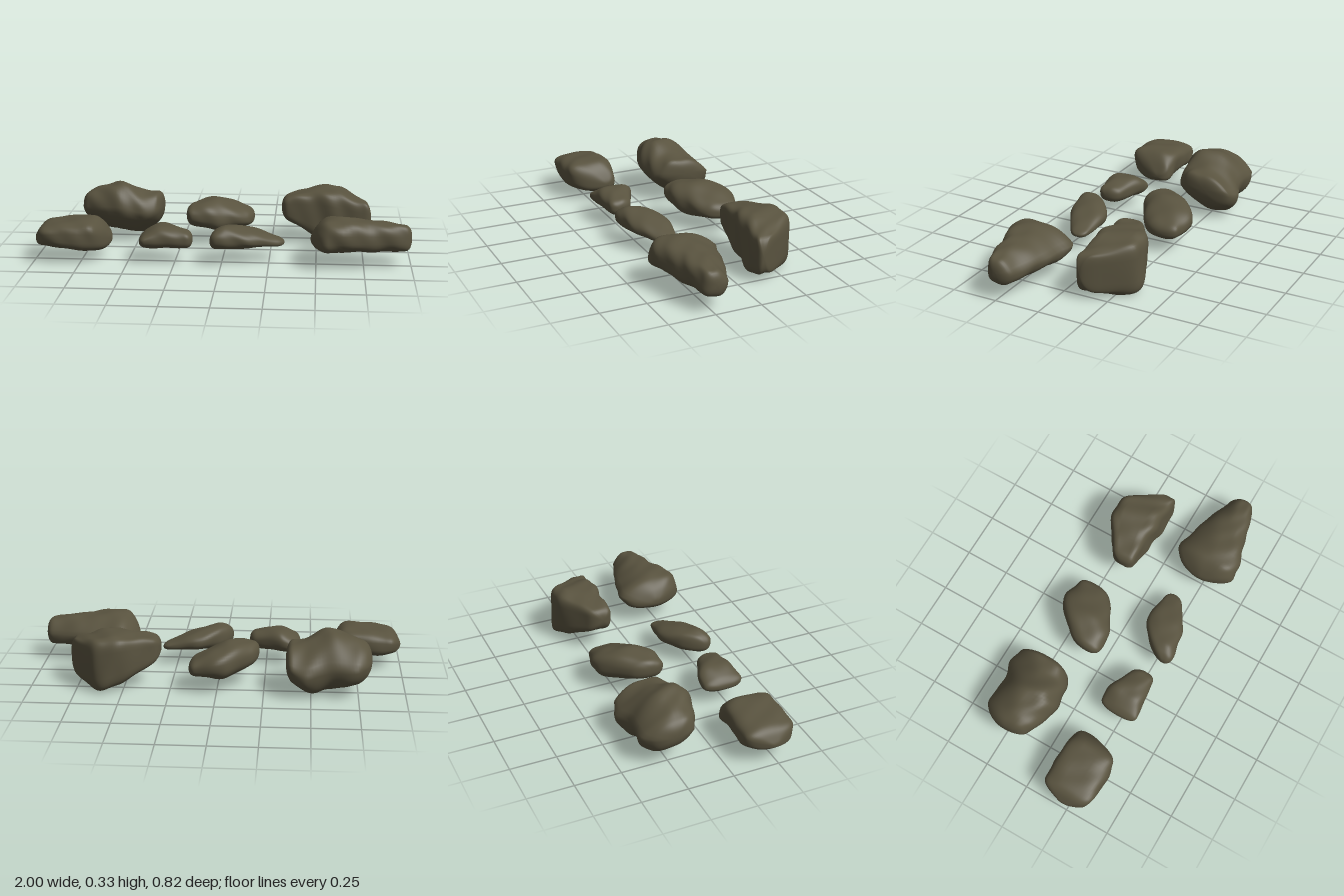
import * as THREE from 'three';

const RING = 44, LENGTH = 48, END = 0.04;

// A rock lofted along x through sections [x, zBack, zFront, yBottom, yTop].
// power: squareness of the section, top and bottom: how far the upper and lower
// halves slide toward the front, seed: lump pattern.
function rockGeometry(sections, { power, top = 0, bottom = 0 }, seed) {
  const curve = (a, b) => new THREE.CatmullRomCurve3(
    sections.map(s => new THREE.Vector3(s[0], s[a], s[b])), false, 'catmullrom', 0.4);
  const plan = curve(1, 2), side = curve(3, 4);
  const xMin = sections[0][0], xMax = sections[sections.length - 1][0];
  const bend = v => Math.sign(v) * Math.abs(v) ** (2 / power);
  const positions = [], index = [];

  for (let i = 0; i <= LENGTH; i++) {
    // Rings crowd toward the ends, where the rock rounds off to a point
    const u = (1 - Math.cos(Math.PI * i / LENGTH)) / 2;
    const p = plan.getPoint(u), e = side.getPoint(u);
    const gap = THREE.MathUtils.clamp(Math.min(p.x - xMin, xMax - p.x) / END, 0, 1);
    const round = (1 - (1 - gap) ** 2.5) ** 0.4;
    const zc = (p.y + p.z) / 2, hz = (p.z - p.y) / 2 * round;
    const yc = (e.y + e.z) / 2, hy = (e.z - e.y) / 2 * round;

    for (let j = 0; j < RING; j++) {
      const t = j / RING * Math.PI * 2;
      const c = bend(Math.cos(t)), s = bend(Math.sin(t));
      // Broad worn hollows and ridges
      const lump = Math.sin(p.x * 29 + c * 2.1 + seed * 1.7) * Math.sin(c * 3.1 + s * 1.9 + seed * 2.3)
        + 0.5 * Math.sin(p.x * 47 - c * 4.3 + s * 2.7 + seed);
      const k = 1 + 0.04 * (lump - 0.3);
      const slide = Math.abs(s) * (s > 0 ? top : bottom);
      const across = c * (1 - Math.abs(slide)) + slide;
      positions.push(p.x, yc + hy * s * k, zc + hz * across * k);
    }
  }

  // Skin between the rings
  for (let i = 0; i < LENGTH; i++) for (let j = 0; j < RING; j++) {
    const a = i * RING + j, b = i * RING + (j + 1) % RING;
    index.push(a, a + RING, b, a + RING, b + RING, b);
  }

  const geometry = new THREE.BufferGeometry();
  geometry.setAttribute('position', new THREE.Float32BufferAttribute(positions, 3));
  geometry.setIndex(index);
  geometry.computeVertexNormals();
  return geometry;
}

export function createModel() {
  const group = new THREE.Group();
  group.name = 'rocks';
  const stone = new THREE.MeshStandardMaterial({ color: 0x59533f });
  stone.name = 'stone';

  const addRock = (name, shape, ...sections) => {
    const mesh = new THREE.Mesh(rockGeometry(sections, shape, group.children.length + 1), stone);
    mesh.name = name;
    group.add(mesh);
  };

  // Back row
  addRock('backRoundRock', { power: 2.5, top: 0.28, bottom: -0.28 },
    [-0.82, -0.32, -0.14, 0.12, 0.24], [-0.74, -0.385, -0.09, 0.07, 0.285],
    [-0.6, -0.385, -0.05, 0.03, 0.325], [-0.47, -0.41, -0.06, 0.025, 0.275],
    [-0.365, -0.39, -0.12, 0.1, 0.26]);
  addRock('backMiddleRock', { power: 2.4 },
    [-0.22, -0.16, -0.02, 0.12, 0.22], [-0.05, -0.34, -0.03, 0.065, 0.242],
    [0.15, -0.33, -0.16, 0.085, 0.16]);
  addRock('backWedgeRock', { power: 5 },
    [0.305, -0.22, -0.11, 0.15, 0.26], [0.5, -0.345, -0.1, 0.04, 0.3],
    [0.64, -0.355, -0.09, 0, 0.29], [0.8, -0.15, -0.09, 0.05, 0.23]);

  // Front row
  addRock('frontBlockRock', { power: 3.2 },
    [-1, 0.18, 0.28, 0.09, 0.14], [-0.93, 0.085, 0.36, 0.08, 0.2],
    [-0.69, 0.09, 0.36, 0.055, 0.22], [-0.6, 0.1, 0.22, 0.06, 0.13]);
  addRock('frontPebbleRock', { power: 2.5 },
    [-0.44, 0.13, 0.35, 0.085, 0.14], [-0.33, 0.12, 0.33, 0.07, 0.195],
    [-0.155, 0.2, 0.315, 0.08, 0.165]);
  addRock('frontSliverRock', { power: 2.4 },
    [-0.06, 0.26, 0.34, 0.085, 0.17], [0.02, 0.165, 0.34, 0.077, 0.2],
    [0.15, 0.1, 0.31, 0.077, 0.175], [0.33, 0.13, 0.21, 0.077, 0.11]);
  addRock('frontTaperedRock', { power: 2.8, top: 0.3 },
    [0.47, 0.17, 0.3, 0.1, 0.17], [0.56, 0.055, 0.41, 0.08, 0.255],
    [0.78, 0.1, 0.36, 0.08, 0.245], [1, 0.18, 0.3, 0.08, 0.22]);

  return group;
}
